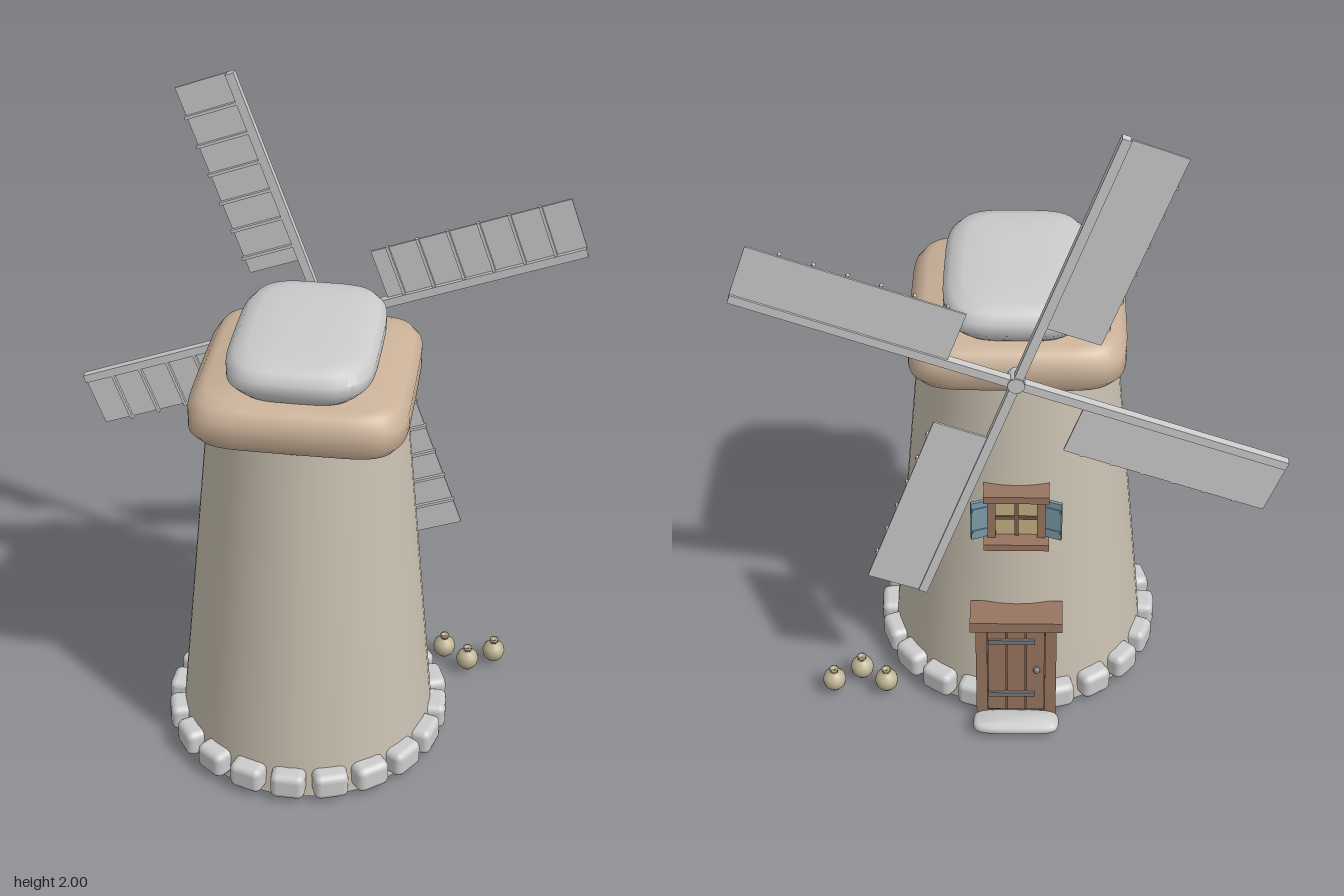
import * as THREE from 'three';
import { toCreasedNormals } from 'three/addons/utils/BufferGeometryUtils.js';
import { RoundedBoxGeometry } from 'three/addons/geometries/RoundedBoxGeometry.js';

const mat = (color) => new THREE.MeshStandardMaterial({ color });
const GREY = mat(0xcccccc);
const PLASTER = mat(0xc9c0b0);
const ROOF = mat(0xcbb299);
const WOOD = mat(0x987460);
const DARK_WOOD = mat(0x7c5d4d);
const IRON = mat(0x77787c);
const GLASS = mat(0xc4b183);
const BLUE = mat(0x7d9cab);
const SACK = mat(0xbdb394);
const CZ = 0.045; // z of the tower axis

function add(parent, name, geometry, material, x = 0, y = 0, z = 0) {
  const mesh = new THREE.Mesh(geometry, material);
  mesh.name = name;
  mesh.position.set(x, y, z);
  parent.add(mesh);
  return mesh;
}
const box = (parent, name, material, w, h, d, x, y, z) =>
  add(parent, name, new THREE.BoxGeometry(w, h, d), material, x, y, z);

function group(parent, name, x = 0, y = 0, z = 0) {
  const g = new THREE.Group();
  g.name = name;
  g.position.set(x, y, z);
  parent.add(g);
  return g;
}

// Soft slab: a rounded-rectangle outline stacked through [y, scale] rings
function pillow(a, b, power, rings) {
  const n = 48, pos = [], idx = [];
  const p = (c) => Math.sign(c) * Math.abs(c) ** (2 / power);
  for (const [y, s] of rings) {
    for (let i = 0; i < n; i++) {
      const t = (i / n) * Math.PI * 2;
      // shrink both sides by the same distance so the bevel is even
      const inset = (1 - s) * a;
      pos.push(p(Math.cos(t)) * (a - inset), y, p(Math.sin(t)) * (b - inset));
    }
  }
  for (let r = 0; r < rings.length - 1; r++) {
    for (let i = 0; i < n; i++) {
      const j = (i + 1) % n, p0 = r * n + i, p1 = r * n + j;
      idx.push(p0, p0 + n, p1, p1, p0 + n, p1 + n);
    }
  }
  // close both ends with fans
  const bottom = pos.length / 3, top = bottom + 1, last = (rings.length - 1) * n;
  pos.push(0, rings[0][0], 0, 0, rings[rings.length - 1][0], 0);
  for (let i = 0; i < n; i++) {
    const j = (i + 1) % n;
    idx.push(bottom, i, j, top, last + j, last + i);
  }
  const g = new THREE.BufferGeometry();
  g.setAttribute('position', new THREE.Float32BufferAttribute(pos, 3));
  g.setIndex(idx);
  return toCreasedNormals(g, 0.8);
}

function addTower(root) {
  add(root, 'tower', new THREE.CylinderGeometry(0.285, 0.397, 1.18, 48), PLASTER, 0, 0.59, CZ);

  // Ring of foundation stones, left open at the door
  const ring = group(root, 'foundationStones', 0, 0.058, CZ);
  const count = 20;
  for (let i = 0; i < count; i++) {
    if (i === count / 2) continue;
    const a = (i / count) * Math.PI * 2;
    const wobble = Math.sin(i * 12.9);
    const stone = add(ring, 'foundationStone',
      new RoundedBoxGeometry(0.104 + 0.006 * wobble, 0.086, 0.075, 2, 0.022), GREY,
      Math.sin(a) * 0.4, 0.002 * wobble, Math.cos(a) * 0.4);
    stone.rotation.y = a + 0.05 * wobble;
  }
}

function addRoof(root) {
  add(root, 'roofSkirt', pillow(0.31, 0.325, 6,
    [[1.148, 0.86], [1.16, 0.93], [1.19, 1], [1.25, 1], [1.283, 0.93], [1.295, 0.85]]),
    ROOF, 0, 0, 0.04);
  add(root, 'roofCap', pillow(0.21, 0.293, 4,
    [[1.29, 0.8], [1.31, 0.9], [1.335, 1], [1.37, 1], [1.395, 0.9], [1.405, 0.72], [1.41, 0.4]]),
    GREY, 0, 0, 0.04);
}

function addSails(root) {
  const axle = add(root, 'axle', new THREE.CylinderGeometry(0.025, 0.025, 0.14, 16), GREY, 0, 1.23, -0.265);
  axle.rotation.x = Math.PI / 2;
  const sails = group(root, 'sails', 0, 1.23, -0.322);
  for (let k = 0; k < 4; k++) {
    const sail = group(sails, 'sail');
    sail.rotation.z = THREE.MathUtils.degToRad(20 + 90 * k);
    box(sail, 'spar', GREY, 0.81, 0.026, 0.026, 0.405, 0, 0);
    box(sail, 'sailSheet', GREY, 0.61, 0.16, 0.006, 0.507, 0.09, -0.004);
    for (let i = 0; i < 6; i++) {
      box(sail, 'sailRib', GREY, 0.009, 0.17, 0.014, 0.255 + i * 0.093, 0.09, 0.003);
    }
  }
  const hub = add(sails, 'hub', new THREE.CylinderGeometry(0.024, 0.024, 0.034, 16), GREY);
  hub.rotation.x = Math.PI / 2;
}

function addDoor(root) {
  const door = group(root, 'door');
  box(door, 'doorLeaf', DARK_WOOD, 0.18, 0.35, 0.07, 0, 0.19, -0.338);
  for (let i = -1; i <= 1; i++) {
    box(door, 'doorPlank', WOOD, 0.054, 0.34, 0.07, i * 0.058, 0.19, -0.342);
  }
  for (const s of [-1, 1]) {
    box(door, 'doorPost', WOOD, 0.034, 0.37, 0.085, s * 0.104, 0.195, -0.347);
  }
  box(door, 'doorLintel', WOOD, 0.275, 0.036, 0.1, 0, 0.384, -0.35);
  for (const y of [0.09, 0.31]) {
    box(door, 'doorHinge', IRON, 0.14, 0.016, 0.012, 0.014, y, -0.379);
  }
  add(door, 'doorKnob', new THREE.SphereGeometry(0.011, 12, 8), IRON, -0.062, 0.195, -0.384);
  add(root, 'doorStep', pillow(0.13, 0.045, 4,
    [[0.016, 0.92], [0.024, 0.98], [0.034, 1], [0.044, 0.97], [0.05, 0.9]]), GREY, 0, 0, -0.443);
}

function addWindow(root) {
  const win = group(root, 'window', 0, 0.735, -0.285);
  box(win, 'windowPane', GLASS, 0.13, 0.13, 0.04, 0, 0, 0);
  for (const s of [-1, 1]) {
    box(win, 'windowPost', WOOD, 0.024, 0.15, 0.07, s * 0.072, 0, 0);
    // shutters swung open against the wall
    const hinge = group(win, 'shutterHinge', s * 0.084, 0, -0.022);
    hinge.rotation.y = s * 0.35;
    box(hinge, 'shutter', BLUE, 0.05, 0.135, 0.01, s * 0.025, 0, 0);
    for (const y of [-0.04, 0.04]) {
      box(hinge, 'shutterBatten', BLUE, 0.044, 0.012, 0.016, s * 0.025, y, 0);
    }
  }
  box(win, 'windowLintel', WOOD, 0.19, 0.024, 0.085, 0, 0.08, 0);
  box(win, 'windowSill', WOOD, 0.19, 0.022, 0.11, 0, -0.076, -0.014);
  box(win, 'windowMullion', DARK_WOOD, 0.011, 0.14, 0.05, 0, 0, 0);
  box(win, 'windowBar', DARK_WOOD, 0.14, 0.011, 0.05, 0, 0, 0);
}

function addSacks(root) {
  // Round tied sacks with a pinched, flared neck
  const profile = [[0, 0.017], [0.02, 0.019], [0.032, 0.034], [0.036, 0.053], [0.031, 0.07],
    [0.018, 0.081], [0.009, 0.085], [0.014, 0.097], [0.007, 0.097], [0, 0.09]]
    .map(([x, y]) => new THREE.Vector2(x, y));
  const geometry = new THREE.LatheGeometry(profile, 20);
  for (const [x, z] of [[0.405, -0.285], [0.485, -0.23], [0.567, -0.285]]) {
    const sack = group(root, 'sack', x, 0, z);
    add(sack, 'sackBody', geometry, SACK);
    const tie = add(sack, 'sackTie', new THREE.TorusGeometry(0.01, 0.003, 6, 16), DARK_WOOD, 0, 0.086, 0);
    tie.rotation.x = Math.PI / 2;
  }
}

export function createModel() {
  const root = new THREE.Group();
  root.name = 'windmill';
  addTower(root);
  addRoof(root);
  addSails(root);
  addDoor(root);
  addWindow(root);
  addSacks(root);
  return root;
}
